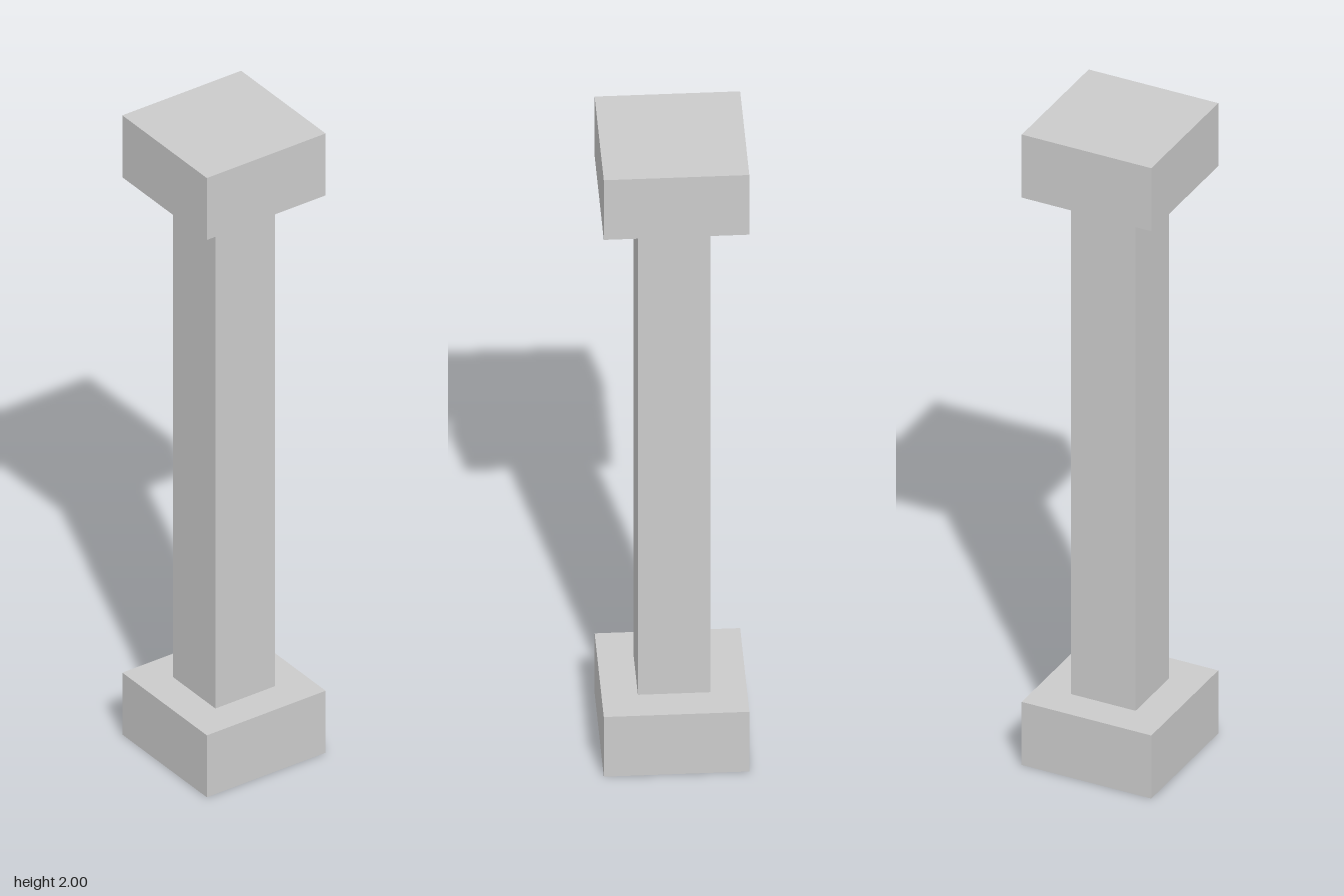
import * as THREE from 'three';

export function createModel() {
  const group = new THREE.Group();
  group.name = 'pillar';
  const material = new THREE.MeshStandardMaterial({ color: 0xcccccc });

  // Square block standing on height y
  const addBlock = (name, width, height, y) => {
    const mesh = new THREE.Mesh(new THREE.BoxGeometry(width, height, width), material);
    mesh.name = name;
    mesh.position.y = y + height / 2;
    group.add(mesh);
  };

  addBlock('base', 0.4, 0.2, 0);
  addBlock('shaft', 0.2, 1.6, 0.2);
  addBlock('capital', 0.4, 0.2, 1.8);

  return group;
}
